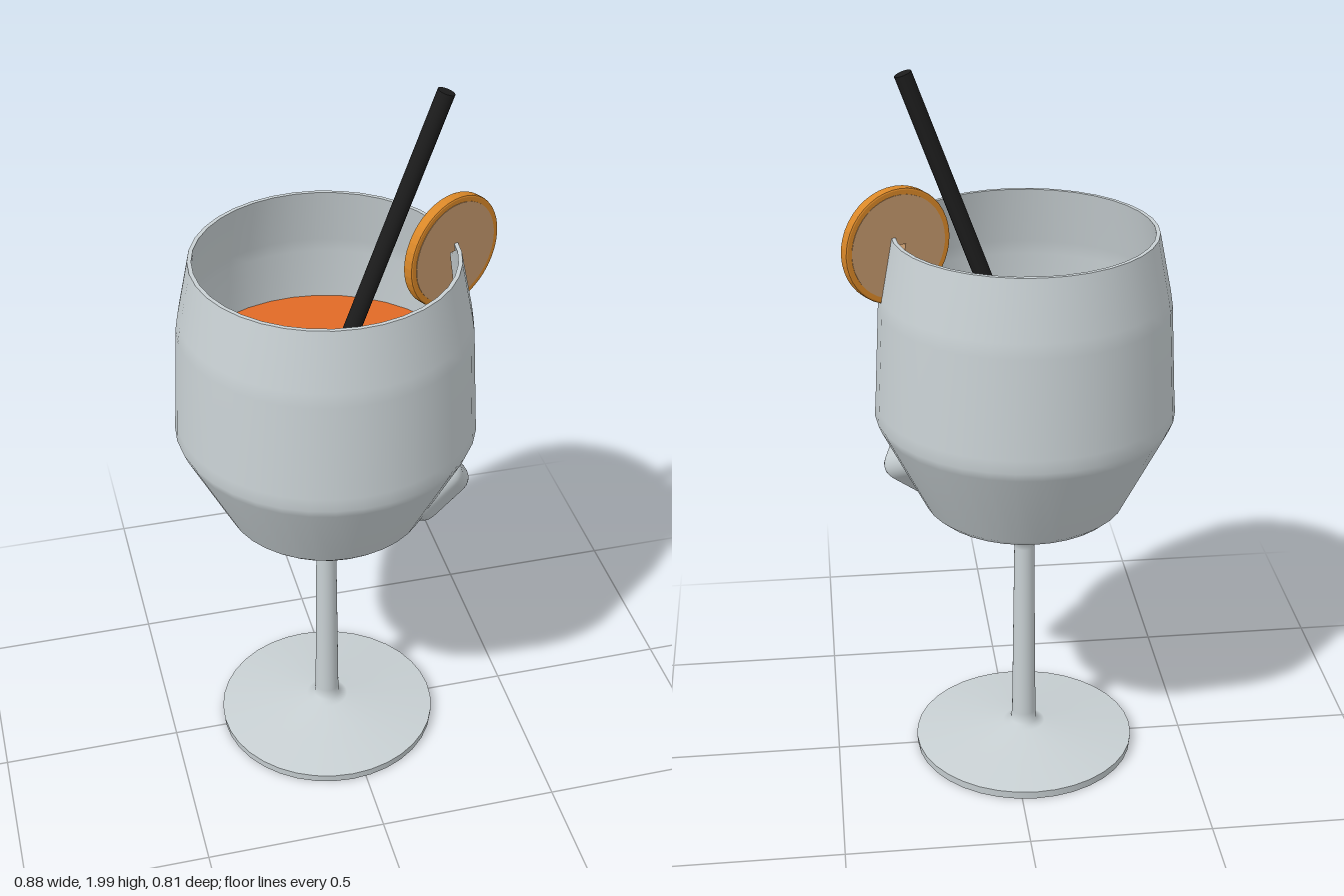
import * as THREE from 'three';
import { RoundedBoxGeometry } from 'three/addons/geometries/RoundedBoxGeometry.js';

const paint = (name, color) => {
  const m = new THREE.MeshStandardMaterial({ color });
  m.name = name;
  return m;
};

export function createModel() {
  const group = new THREE.Group();
  const glass = paint('pale glass', 0xc8d0d3);
  const drink = paint('orange drink', 0xe06a26);
  const rind = paint('orange rind', 0xd98728);
  const flesh = paint('pale flesh', 0xc4986c);
  const black = paint('black straw', 0x1c1c1c);
  const axisX = -0.04;

  const add = (name, geometry, material, parent = group) => {
    const mesh = new THREE.Mesh(geometry, material);
    mesh.name = name;
    parent.add(mesh);
    return mesh;
  };
  const lathe = (name, points, material) => {
    const profile = points.map(([r, y]) => new THREE.Vector2(r, y));
    const mesh = add(name, new THREE.LatheGeometry(profile, 36), material);
    mesh.position.x = axisX;
    return mesh;
  };

  // Foot: flat underside and thin edge, kept apart for sharp creases
  lathe('footUnderside', [[0, 0.005], [0.31, 0.005]], glass);
  lathe('footEdge', [[0.31, 0.005], [0.312, 0.028]], glass);

  // Foot top, stem and outer bowl
  lathe('stemAndBowl', [
    [0.312, 0.028], [0.2, 0.043], [0.06, 0.062], [0.037, 0.068], [0.034, 0.1],
    [0.028, 0.64], [0.032, 0.668], [0.06, 0.683], [0.255, 0.782], [0.275, 0.8],
    [0.395, 1.04], [0.405, 1.065], [0.402, 1.1], [0.388, 1.37], [0.382, 1.41],
    [0.35, 1.57],
  ], glass);

  // Rim and inner wall
  lathe('rim', [[0.35, 1.57], [0.339, 1.57]], glass);
  lathe('innerBowl', [
    [0.339, 1.57], [0.37, 1.41], [0.376, 1.37], [0.392, 1.08], [0.383, 1.04],
    [0.262, 0.803], [0.05, 0.69], [0, 0.685],
  ], glass);

  // Drink surface
  lathe('drink', [[0.384, 1.22], [0, 1.22]], drink);

  // Ice cubes: one afloat, one pushing through the lower wall
  const ice = (name, size, position, rotation) => {
    const mesh = add(name, new RoundedBoxGeometry(...size, 3, 0.045), glass);
    mesh.position.set(...position);
    mesh.rotation.set(...rotation);
  };
  ice('floatingIce', [0.21, 0.19, 0.17], [-0.172, 1.19, -0.072], [0.35, -0.06, 0.04]);
  ice('sunkenIce', [0.2, 0.2, 0.2], [0.205, 0.9, 0.09], [0.55, 0.5, 0.45]);

  // Straw leaning to the side
  const low = new THREE.Vector3(-0.1, 0.98, 0);
  const high = new THREE.Vector3(0.268, 1.992, 0);
  const along = high.clone().sub(low);
  const straw = add('straw', new THREE.CylinderGeometry(0.023, 0.023, along.length(), 16), black);
  straw.position.copy(low).add(high).multiplyScalar(0.5);
  straw.quaternion.setFromUnitVectors(new THREE.Vector3(0, 1, 0), along.normalize());

  // Fruit slice with a slit that sits over the rim
  const slice = new THREE.Group();
  slice.name = 'fruitSlice';
  slice.position.set(0.296, 1.543, 0);
  slice.rotation.y = 0.48;
  group.add(slice);
  const slitDisc = (radius) => {
    const shape = new THREE.Shape();
    const start = -Math.PI / 2 + 0.36;
    const sweep = Math.PI * 2 - 0.32;
    for (let i = 0; i <= 40; i++) {
      const a = start + (sweep * i) / 40;
      const x = Math.cos(a) * radius, y = Math.sin(a) * radius;
      if (i === 0) shape.moveTo(x, y);
      else shape.lineTo(x, y);
    }
    shape.lineTo(-0.02, 0.005);
    shape.lineTo(0.012, 0.005);
    shape.closePath();
    return shape;
  };
  const slab = (name, radius, depth, bevel, material) => {
    const geometry = new THREE.ExtrudeGeometry(slitDisc(radius), {
      depth, bevelEnabled: bevel > 0, bevelSize: bevel, bevelThickness: bevel,
      bevelOffset: -bevel, bevelSegments: 2,
    });
    geometry.translate(0, 0, -depth / 2);
    add(name, geometry, material, slice);
  };
  slab('rind', 0.156, 0.02, 0.005, rind);
  slab('flesh', 0.139, 0.033, 0, flesh);

  return group;
}
